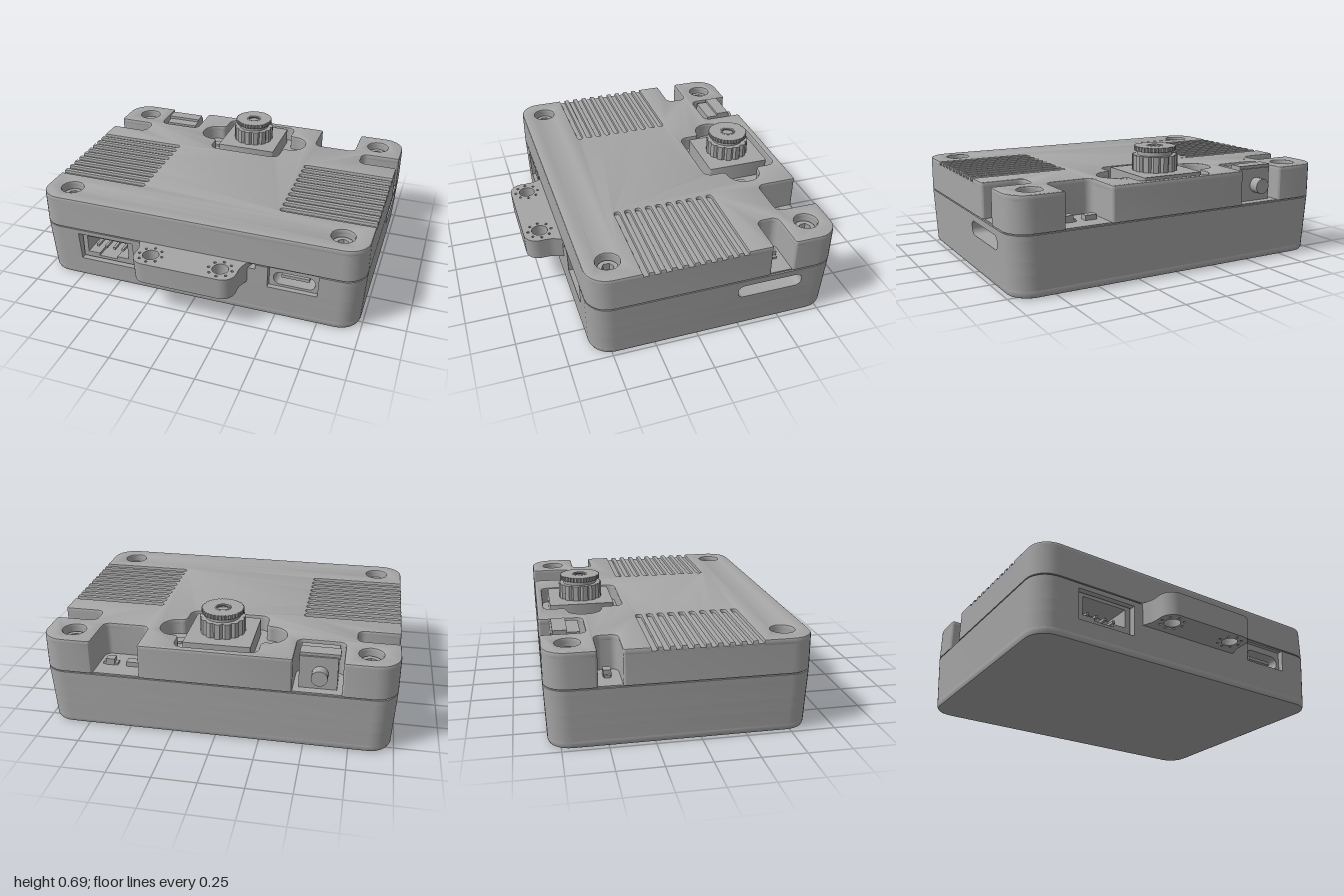
import * as THREE from 'three';
import { toCreasedNormals } from 'three/addons/utils/BufferGeometryUtils.js';

const grey = new THREE.MeshStandardMaterial({ color: 0xa6a6a6 });
grey.name = 'plastic grey';

// Closed outline from [x, z, cornerRadius] points
function outline(pts) {
  const s = new THREE.Shape();
  const v = pts.map(([x, z]) => new THREE.Vector2(x, -z));
  pts.forEach(([, , r = 0], i) => {
    const p = v[i], a = v[(i + v.length - 1) % v.length], b = v[(i + 1) % v.length];
    const from = p.clone().add(a.clone().sub(p).setLength(r));
    const to = p.clone().add(b.clone().sub(p).setLength(r));
    if (i === 0) s.moveTo(from.x, from.y); else s.lineTo(from.x, from.y);
    if (r > 0) {
      // near-circular corner
      const k = 0.552;
      const c1 = from.clone().lerp(p, k), c2 = to.clone().lerp(p, k);
      s.bezierCurveTo(c1.x, c1.y, c2.x, c2.y, to.x, to.y);
    }
  });
  s.closePath();
  return s;
}
const rect = (x0, x1, z0, z1, r = 0) => outline([[x0, z1, r], [x1, z1, r], [x1, z0, r], [x0, z0, r]]);
const circle = (x, z, r) => new THREE.Path().absarc(x, -z, r, 0, Math.PI * 2);
const mirror = (half) => [...half, ...half.map(([x, z, r]) => [-x, z, r]).reverse()];

// Upright slab between two heights
function slab(shape, y0, y1, bevel = 0) {
  const g = new THREE.ExtrudeGeometry(shape, {
    depth: y1 - y0 - 2 * bevel, curveSegments: 8, bevelEnabled: bevel > 0,
    bevelThickness: bevel, bevelSize: bevel, bevelOffset: -bevel, bevelSegments: 2,
  });
  return g.rotateX(-Math.PI / 2).translate(0, y0 + bevel, 0);
}
function warp(g, rule) {
  const p = g.attributes.position, v = new THREE.Vector3();
  for (let i = 0; i < p.count; i++) {
    rule(v.fromBufferAttribute(p, i));
    p.setXYZ(i, v.x, v.y, v.z);
  }
  g.computeVertexNormals();
  return g;
}
// Case walls lean inward toward the bottom
const taper = (g) => warp(g, (v) => {
  const k = 1 - 0.018 * (1 - Math.min(v.y / 0.34, 1));
  v.x *= k;
  v.z = (v.z + 0.105) * k - 0.105;
});
// Disc outline with n raised ridges
function ridged(n, r0, r1, hole) {
  const s = new THREE.Shape();
  for (let i = 0; i < n * 4; i++) {
    const a = ((i + 0.5) / (n * 4)) * Math.PI * 2, r = i % 4 < 3 ? r1 : r0;
    s[i ? 'lineTo' : 'moveTo'](r * Math.cos(a), r * Math.sin(a));
  }
  s.closePath();
  if (hole) s.holes.push(circle(0, 0, hole));
  return s;
}

export function createModel() {
  const root = new THREE.Group();
  const add = (name, g, parent = root) => {
    const m = new THREE.Mesh(toCreasedNormals(g, 0.5), grey);
    m.name = name;
    parent.add(m);
    return m;
  };
  const box = (name, x0, x1, y0, y1, z0, z1, parent) => add(name,
    new THREE.BoxGeometry(x1 - x0, y1 - y0, z1 - z0).translate((x0 + x1) / 2, (y0 + y1) / 2, (z0 + z1) / 2), parent);
  const group = (name) => {
    const g = new THREE.Group();
    g.name = name;
    root.add(g);
    return g;
  };

  // Base, stacked in layers with cut-outs for the ports
  const R = 0.13;
  const base = group('base');
  const baseShape = (cuts, side) => outline([
    [-1, 0.62, R],
    ...cuts.flatMap(([a, b, d]) => [[a, 0.62], [a, 0.62 - d], [b, 0.62 - d], [b, 0.62]]),
    [1, 0.62, R],
    ...(side ? [[1, -0.21], [0.9, -0.21], [0.9, -0.64], [1, -0.64]] : []),
    [1, -0.83, R], [-1, -0.83, R]]);
  const plug = [-0.75, -0.39, 0.2], usb = [0.455, 0.75, 0.16], nick = [0.33, 0.38, 0.06];
  add('baseFoot', taper(slab(baseShape([]), 0, 0.06, 0.018)), base);
  [[0.018, 0.13, []], [0.13, 0.2, [plug]], [0.2, 0.31, [plug, usb], true], [0.31, 0.338, [nick, usb]]]
    .forEach(([y0, y1, cuts, side]) => add('baseWall', taper(slab(baseShape(cuts, side), y0, y1)), base));
  add('seam', slab(rect(-0.99, 0.99, -0.82, 0.61, 0.12), 0.335, 0.347), base);

  // Side slot surround
  const sideFrame = rect(-0.64, -0.21, -0.31, -0.2);
  sideFrame.holes.push(rect(-0.62, -0.23, -0.3, -0.218, 0.035));
  const sideG = new THREE.ExtrudeGeometry(sideFrame, { depth: 0.1, bevelEnabled: false, curveSegments: 8 });
  sideG.rotateY(-Math.PI / 2).translate(1, 0, 0);
  add('sideSlot', taper(sideG), base);

  // Lid with corner notches and vent grooves
  const lid = group('lid');
  const slots = [];
  for (let i = 0; i < 10; i++) {
    const z = 0.31 - i * 0.063, h = 0.016;
    slots.push([1, z + h], [0.435, z + h, h * 0.95], [0.435, z - h, h * 0.95], [1, z - h]);
  }
  const lidShape = (grooves) => {
    const s = outline(mirror([
      [1, 0.62, R], ...grooves, [1, -0.42, 0.015], [0.76, -0.42, 0.04], [0.76, -0.55, 0.04], [1, -0.55, 0.015],
      [1, -0.83, R], [0.7, -0.83, 0.015], [0.7, -0.58, 0.04], [0.43, -0.58, 0.04], [0.43, -0.83, 0.015]]));
    s.holes.push(outline(mirror([
      [0.235, -0.32, 0.05], [0.235, -0.455, 0.03], [0.365, -0.455, 0.095],
      [0.365, -0.655, 0.095], [0.235, -0.655, 0.03], [0.235, -0.79, 0.05]])));
    for (const x of [-0.84, 0.84]) for (const z of [-0.69, 0.475]) s.holes.push(circle(x, z, 0.068));
    return s;
  };
  add('lidBody', slab(lidShape([]), 0.345, 0.525), lid);
  add('lidTop', slab(lidShape(slots), 0.505, 0.545, 0.009), lid);

  // Corner screws with hex sockets
  for (const x of [-0.84, 0.84]) for (const z of [-0.69, 0.475]) {
    const s = new THREE.Shape().absarc(0, 0, 0.058, 0, Math.PI * 2);
    const hex = new THREE.Path();
    for (let i = 0; i < 6; i++) {
      const a = (i * Math.PI) / 3 + Math.PI / 6;
      hex[i ? 'lineTo' : 'moveTo'](0.034 * Math.cos(a), 0.034 * Math.sin(a));
    }
    hex.closePath();
    s.holes.push(hex);
    add('screw', slab(s, 0.45, 0.5)).position.set(x, 0, z);
    add('screwSeat', new THREE.CylinderGeometry(0.07, 0.07, 0.11, 24).translate(x, 0.405, z));
  }

  // Camera module
  const cam = group('camera');
  box('cameraFloor', -0.37, 0.37, 0.4, 0.45, -0.8, -0.31, cam);
  add('cameraPlate', slab(rect(-0.19, 0.19, -0.75, -0.37, 0.008), 0.44, 0.55), cam);
  for (const x of [-0.255, 0.255])
    add('cameraScrew', new THREE.CylinderGeometry(0.03, 0.03, 0.02, 20).translate(x, 0.455, -0.555), cam);
  const lens = (name, g) => { add(name, g, cam).position.z = -0.555; };
  lens('lensBarrel', slab(ridged(14, 0.118, 0.13), 0.55, 0.64));
  lens('lensNeck', new THREE.CylinderGeometry(0.1, 0.1, 0.04, 32).translate(0, 0.65, 0));
  lens('lensRing', slab(ridged(36, 0.113, 0.12, 0.048), 0.664, 0.69));
  lens('lensRim', new THREE.TorusGeometry(0.041, 0.008, 8, 28).rotateX(Math.PI / 2).translate(0, 0.685, 0));

  // Round jack in the rear notch
  const jack = group('jack');
  box('jackBody', -0.67, -0.46, 0.345, 0.54, -0.77, -0.61, jack);
  box('jackTop', -0.68, -0.46, 0.53, 0.557, -0.76, -0.68, jack);
  add('jackBarrel', new THREE.CylinderGeometry(0.045, 0.045, 0.07, 24)
    .rotateX(Math.PI / 2).translate(-0.575, 0.44, -0.795), jack);

  // Small board components in the notches
  box('chip', 0.465, 0.535, 0.345, 0.375, -0.718, -0.672);
  for (const [x, z] of [[0.63, -0.695], [-0.84, -0.49], [0.84, -0.49]]) {
    box('buttonBody', x - 0.025, x + 0.025, 0.345, 0.385, z - 0.022, z + 0.022);
    box('buttonLeads', x - 0.043, x + 0.043, 0.345, 0.36, z - 0.018, z + 0.018);
  }

  // Pin connector at the front
  const pins = group('pinConnector');
  const shell = rect(-0.735, -0.4, -0.305, -0.14);
  shell.holes.push(outline([[-0.705, -0.175], [-0.63, -0.175], [-0.63, -0.158], [-0.51, -0.158],
    [-0.51, -0.175], [-0.435, -0.175], [-0.435, -0.285], [-0.705, -0.285]]));
  add('connectorShell', new THREE.ExtrudeGeometry(shell, { depth: 0.17, bevelEnabled: false }).translate(0, 0, 0.42), pins);
  for (let i = 0; i < 4; i++) {
    const x = -0.655 + i * 0.056;
    box('pin', x - 0.008, x + 0.008, 0.2, 0.216, 0.42, 0.56, pins);
  }

  // Oval port at the front
  const port = group('ovalPort');
  const portFace = rect(0.455, 0.75, -0.345, -0.2);
  portFace.holes.push(rect(0.48, 0.725, -0.295, -0.215, 0.038));
  add('portFace', new THREE.ExtrudeGeometry(portFace, { depth: 0.12, bevelEnabled: false, curveSegments: 8 })
    .translate(0, 0, 0.465), port);
  box('portTongue', 0.52, 0.685, 0.245, 0.265, 0.45, 0.56, port);

  // Mounting tab with two through holes ringed by small ones
  const tab = outline([[-0.35, 0.58], [-0.335, 0.62, 0.02], [-0.31, 0.68, 0.02], [-0.31, 0.83, 0.08],
    [0.31, 0.83, 0.08], [0.31, 0.68, 0.02], [0.335, 0.62, 0.02], [0.35, 0.58]]);
  for (const x of [-0.215, 0.21]) {
    tab.holes.push(circle(x, 0.73, 0.048));
    for (let i = 0; i < 8; i++) {
      const a = (i * Math.PI) / 4;
      tab.holes.push(circle(x + 0.07 * Math.cos(a), 0.73 + 0.07 * Math.sin(a), 0.008));
    }
  }
  add('mountingTab', warp(slab(tab, 0.21, 0.346), (v) => {
    if (v.y < 0.25) { v.x *= 0.98; v.z = 0.6 + (v.z - 0.6) * 0.97; }
  }));
  return root;
}
